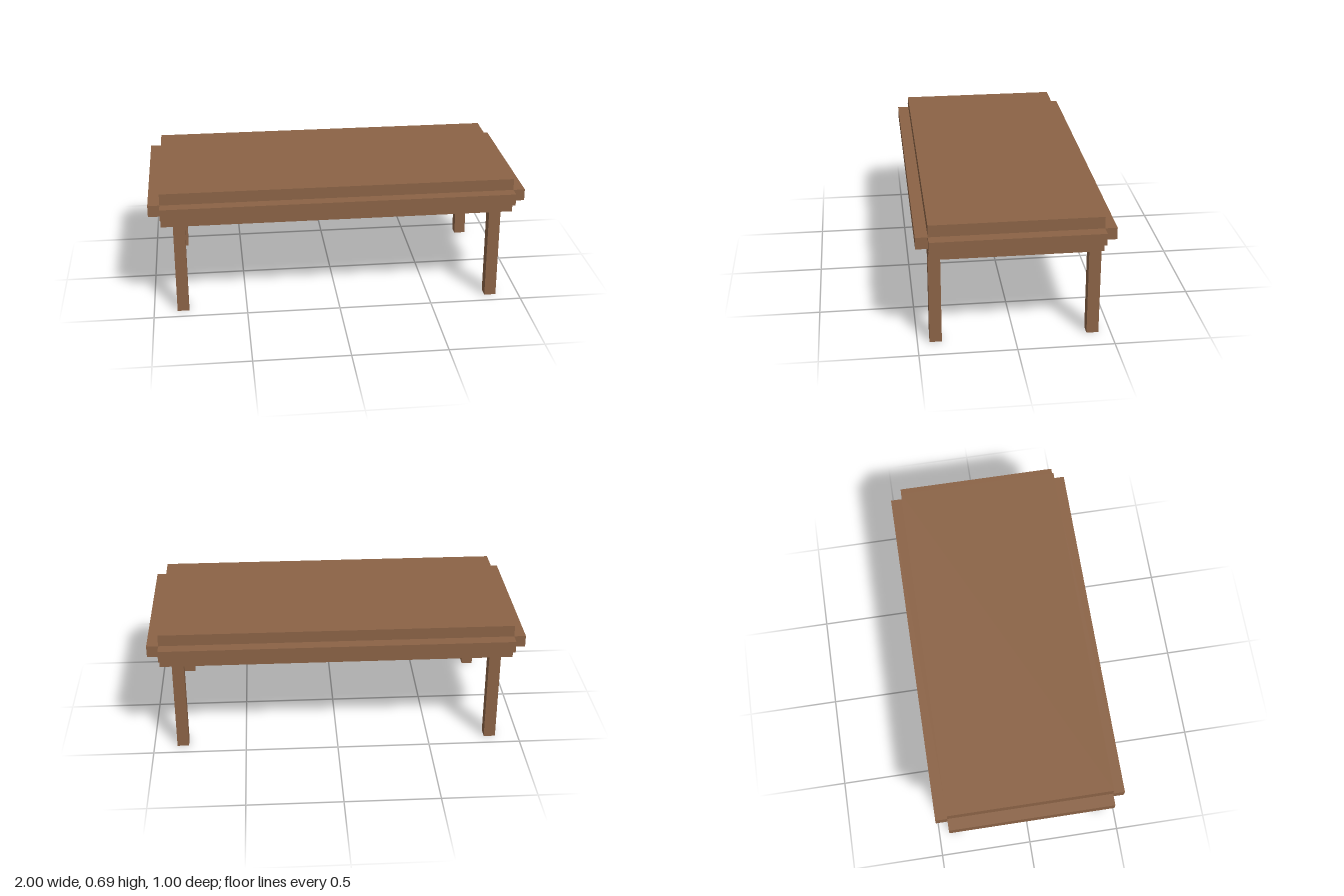
import * as THREE from 'three';

export function createModel() {
  const wood = new THREE.MeshStandardMaterial({ color: 0x8b6346 });
  wood.name = 'brown wood';
  const model = new THREE.Group();
  model.name = 'lowTable';

  // Adds a box whose underside sits at height y
  function addBox(name, w, h, d, x, y, z) {
    const mesh = new THREE.Mesh(new THREE.BoxGeometry(w, h, d), wood);
    mesh.name = name;
    mesh.position.set(x, y + h / 2, z);
    model.add(mesh);
  }

  const u = 0.0625; // thickness shared by the legs and rails

  // Thick table top
  addBox('tableTop', 30 * u, 3 * u, 14 * u, 0, 8 * u, 0);

  for (const s of [1, -1]) {
    // Rails running round the middle of the edge, open at the corners
    addBox(s > 0 ? 'frontRail' : 'backRail', 30 * u, u, u, 0, 9 * u, s * 7.5 * u);
    addBox(s > 0 ? 'leftRail' : 'rightRail', u, u, 14 * u, s * 15.5 * u, 9 * u, 0);

    // Square legs, flush with the front and back of the top
    for (const t of [1, -1]) {
      const name = (t > 0 ? 'front' : 'back') + (s > 0 ? 'Left' : 'Right') + 'Leg';
      addBox(name, u, 8 * u, u, s * 13.5 * u, 0, t * 6.5 * u);
    }
  }
  return model;
}
